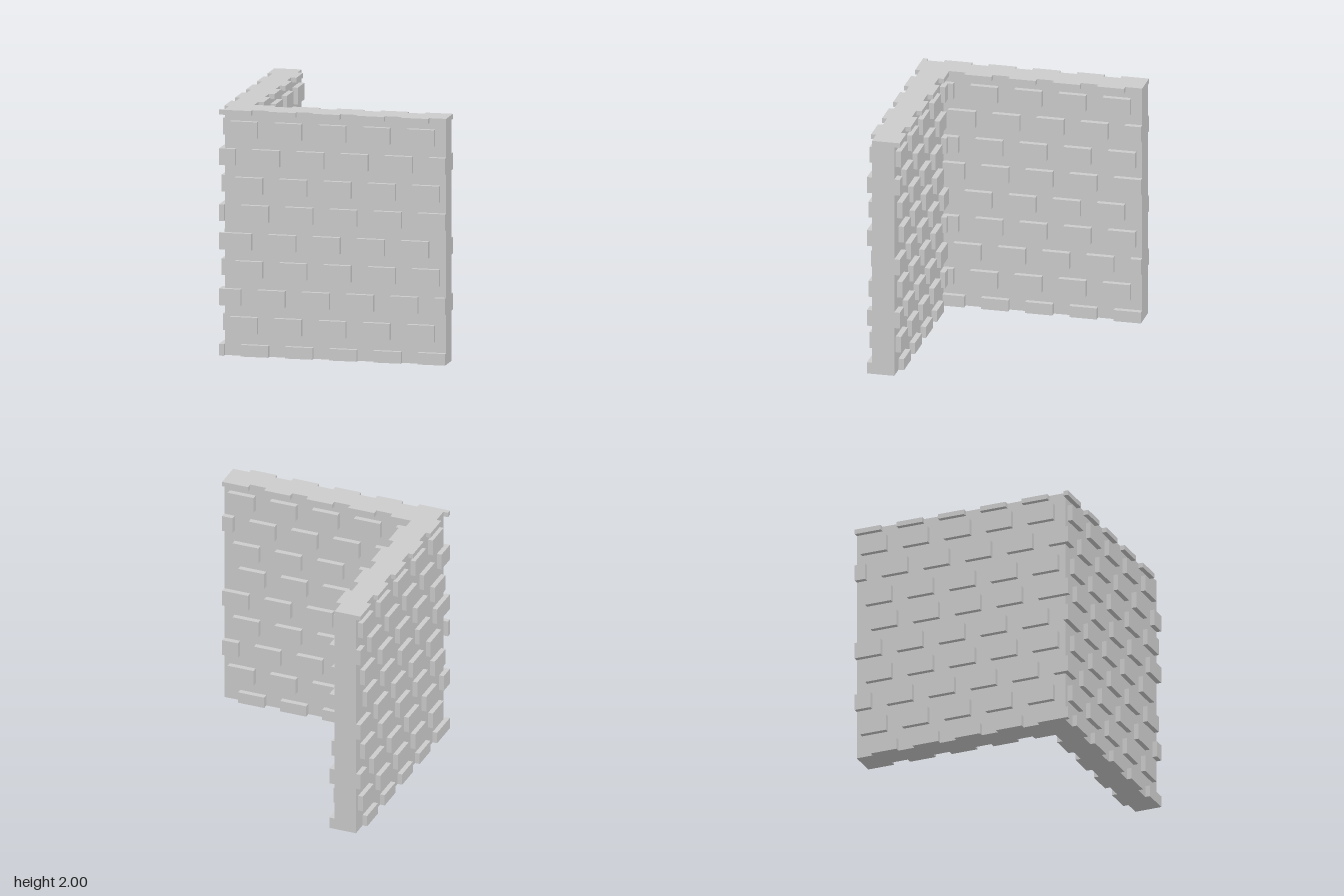
import * as THREE from 'three';

const mat = new THREE.MeshStandardMaterial({ color: 0xcccccc, flatShading: true });

// plan dimensions shared by both wings of the corner wall
const END = 0.93, CORE_OUT = 0.89, CORE_IN = 0.705, FACE_IN = 0.66;
const BRICK = 0.225, PITCH = 0.364, CENTRE = 0.02;

// courses: bottom, top, start of the first brick
const courses = [
  [0, 0.095, -0.751], [0.185, 0.32, -0.842], [0.41, 0.545, -0.978], [0.64, 0.775, -0.8],
  [0.865, 1.0, -0.89], [1.095, 1.23, -0.751], [1.32, 1.455, -0.8], [1.55, 1.685, -1.024],
  [1.775, 1.91, -0.842], [1.96, 2.0, -0.89],
];

function box(name, x0, x1, y0, y1, z0, z1) {
  const mesh = new THREE.Mesh(new THREE.BoxGeometry(x1 - x0, y1 - y0, z1 - z0), mat);
  mesh.position.set((x0 + x1) / 2, (y0 + y1) / 2, (z0 + z1) / 2);
  mesh.name = name;
  return mesh;
}

// spans of the bricks in one course, clipped to the face
function spans(start, mirrored, lo) {
  const out = [];
  for (let i = -1; i < 7; i++) {
    let a = start + i * PITCH;
    if (mirrored) a = 2 * CENTRE - a - BRICK;
    let b = Math.min(a + BRICK, END);
    // outer bricks that reach the corner wrap round it
    if (lo === -END && a < -CORE_OUT + 0.01) a = -END;
    a = Math.max(a, lo);
    if (b > -CORE_OUT + 0.01 && b - a > 0.02) out.push([a, b]);
  }
  return out;
}

// one face of raised bricks; place() turns (u, depth) spans into a box
function brickFace(name, mirrored, lo, place) {
  const group = new THREE.Group();
  group.name = name;
  for (const [y0, y1, start] of courses)
    for (const [a, b] of spans(start, mirrored, lo)) group.add(place(a, b, y0, y1));
  return group;
}

export function createModel() {
  const model = new THREE.Group();
  model.name = 'cornerWall';

  // L-shaped core (shape y is -z)
  const plan = new THREE.Shape([
    [-CORE_OUT, -CORE_OUT], [END, -CORE_OUT], [END, -CORE_IN],
    [-CORE_IN, -CORE_IN], [-CORE_IN, END], [-CORE_OUT, END],
  ].map(([x, y]) => new THREE.Vector2(x, y)));
  const coreGeo = new THREE.ExtrudeGeometry(plan, { depth: 2, bevelEnabled: false });
  coreGeo.rotateX(-Math.PI / 2);
  const core = new THREE.Mesh(coreGeo, mat);
  core.name = 'wallCore';
  model.add(core);

  // front wing: outer and inner faces
  model.add(brickFace('frontOuterBricks', false, -END,
    (a, b, y0, y1) => box('brick', a, b, y0, y1, CORE_OUT, END)));
  model.add(brickFace('frontInnerBricks', true, -CORE_IN,
    (a, b, y0, y1) => box('brick', a, b, y0, y1, FACE_IN, CORE_IN)));

  // side wing: outer and inner faces, running back along -z
  model.add(brickFace('sideOuterBricks', true, -END,
    (a, b, y0, y1) => box('brick', -END, -CORE_OUT, y0, y1, -b, -a)));
  model.add(brickFace('sideInnerBricks', false, -CORE_IN,
    (a, b, y0, y1) => box('brick', -CORE_IN, -FACE_IN, y0, y1, -b, -a)));

  return model;
}
